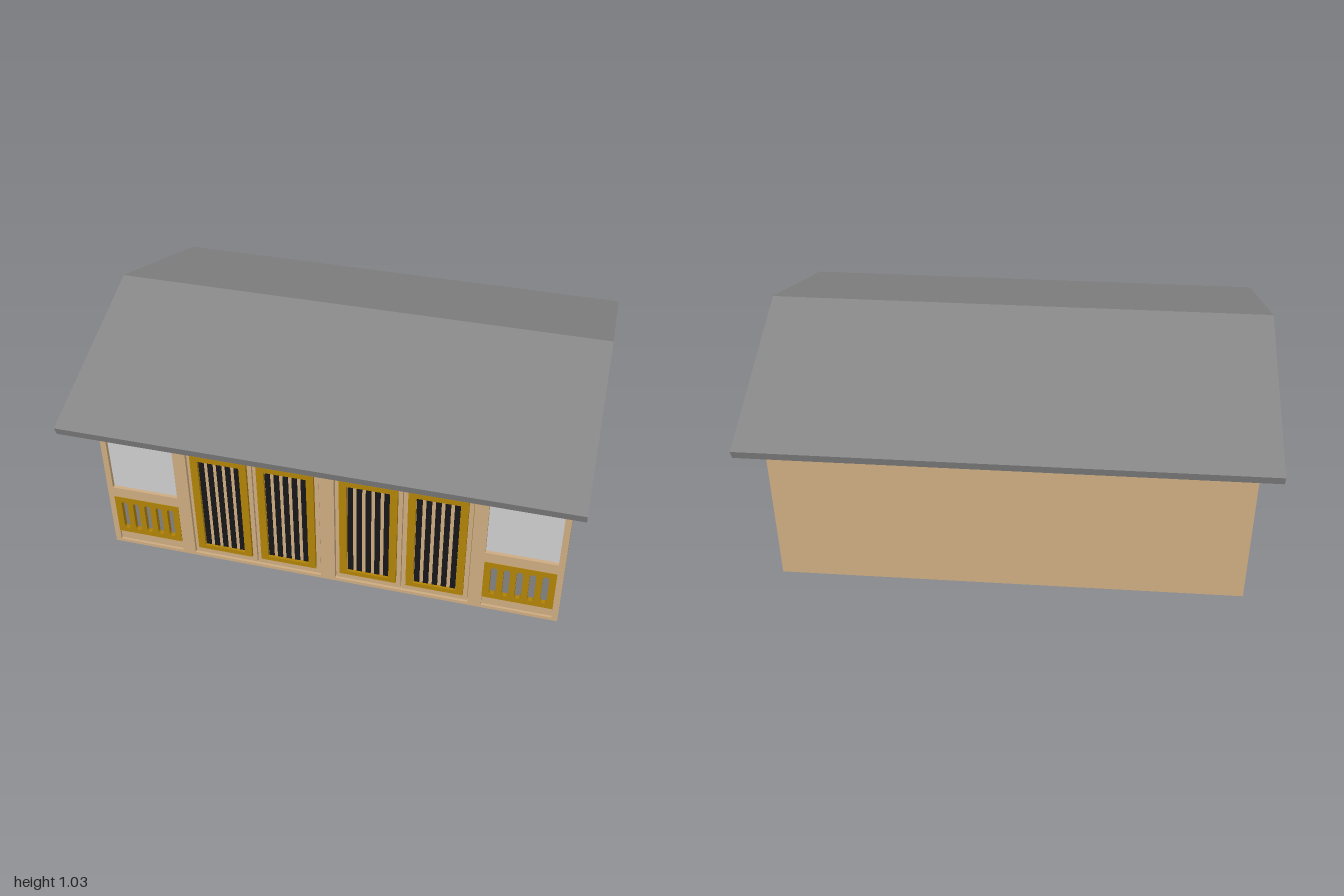
import * as THREE from 'three';

const mat = (color) => new THREE.MeshStandardMaterial({ color });

export function createModel() {
  const model = new THREE.Group();
  model.name = 'house';
  const wood = mat(0xccab80), gold = mat(0xb08208), plaster = mat(0xcccccc);
  const slate = mat(0x858585), shade = mat(0x808080), black = mat(0x16161a);

  const add = (name, geometry, material) => {
    const mesh = new THREE.Mesh(geometry, material);
    mesh.name = name;
    model.add(mesh);
    return mesh;
  };
  // Box given by its limits
  const box = (name, material, x0, x1, y0, y1, z0, z1) => {
    const g = new THREE.BoxGeometry(x1 - x0, y1 - y0, z1 - z0);
    g.translate((x0 + x1) / 2, (y0 + y1) / 2, (z0 + z1) / 2);
    return add(name, g, material);
  };
  const poly = (pts) => new THREE.Shape(pts.map(([x, y]) => new THREE.Vector2(x, y)));
  const rectPts = (x0, x1, y0, y1) => [[x0, y0], [x1, y0], [x1, y1], [x0, y1]];
  // Upright slab with openings, from z0 to z1
  const slab = (name, material, outline, holes, z0, z1) => {
    const shape = poly(outline);
    shape.holes = holes;
    const g = new THREE.ExtrudeGeometry(shape, { depth: z1 - z0, bevelEnabled: false, curveSegments: 6 });
    g.translate(0, 0, z0);
    return add(name, g, material);
  };
  // Cross-section in z and y, drawn out along x
  const alongX = (name, material, pts, half) => {
    const g = new THREE.ExtrudeGeometry(poly(pts), { depth: half * 2, bevelEnabled: false });
    g.translate(0, 0, -half);
    g.rotateY(Math.PI / 2);
    return add(name, g, material);
  };
  // Narrow slot with rounded ends
  const slot = (x, y0, y1, r) => {
    const p = new THREE.Path();
    p.moveTo(x + r, y0 + r);
    p.lineTo(x + r, y1 - r);
    p.absarc(x, y1 - r, r, 0, Math.PI, false);
    p.lineTo(x - r, y0 + r);
    p.absarc(x, y0 + r, r, Math.PI, Math.PI * 2, false);
    return p;
  };

  // Main body, gable and roof
  box('body', wood, -0.95, 0.95, 0, 0.75, -0.5, 0.475);
  alongX('gable', plaster, [[-0.5, 0.75], [0.5, 0.75], [0.5, 0.81], [0, 0.99], [-0.5, 0.81]], 0.95);
  alongX('roof', slate, [[0, 0.99], [0.714, 0.737], [0.727, 0.773], [0, 1.028],
    [-0.727, 0.773], [-0.714, 0.737]], 1);

  // Front timber frame with its openings
  const openings = [];
  for (const s of [-1, 1]) {
    const sideX = [s * 0.925, s * 0.64].sort((a, b) => a - b);
    const doorX = [s * 0.585, s * 0.03].sort((a, b) => a - b);
    openings.push([...sideX, 0.622, 0.73], [...sideX, 0.305, 0.593], [...sideX, 0.065, 0.257],
      [...sideX, 0.015, 0.06], [...doorX, 0.622, 0.73], [...doorX, 0.015, 0.593]);

    // Plaster panes
    box('transomPane', plaster, ...sideX, 0.622, 0.73, 0.47, 0.485);
    box('windowPane', plaster, ...sideX, 0.305, 0.593, 0.47, 0.485);
    box('doorTransomPane', plaster, ...doorX, 0.622, 0.73, 0.47, 0.485);
    box('basePanel', wood, ...sideX, 0.015, 0.06, 0.47, 0.49);

    // Slotted railing below the window
    const mid = (sideX[0] + sideX[1]) / 2;
    const slots = [-2, -1, 0, 1, 2].map((i) => slot(mid + i * 0.051, 0.087, 0.232, 0.013));
    slab('railing', gold, rectPts(...sideX, 0.065, 0.257), slots, 0.48, 0.502);
    box('railingBack', shade, ...sideX, 0.065, 0.257, 0.47, 0.482);

    // Pair of barred doors
    for (const c of [0.169, 0.446]) {
      const x = s * c;
      box('doorLeaf', wood, x - 0.136, x + 0.136, 0.018, 0.59, 0.47, 0.492);
      slab('doorFrame', gold, rectPts(x - 0.118, x + 0.118, 0.053, 0.55),
        [poly(rectPts(x - 0.087, x + 0.087, 0.073, 0.527))], 0.485, 0.505);
      for (let i = -2; i <= 2; i++) {
        box('doorBar', black, x + i * 0.037 - 0.011, x + i * 0.037 + 0.011, 0.075, 0.525, 0.485, 0.496);
      }
    }
  }
  slab('frontFrame', wood, rectPts(-0.95, 0.95, 0, 0.75),
    openings.map((o) => poly(rectPts(...o))), 0.475, 0.5);

  return model;
}
